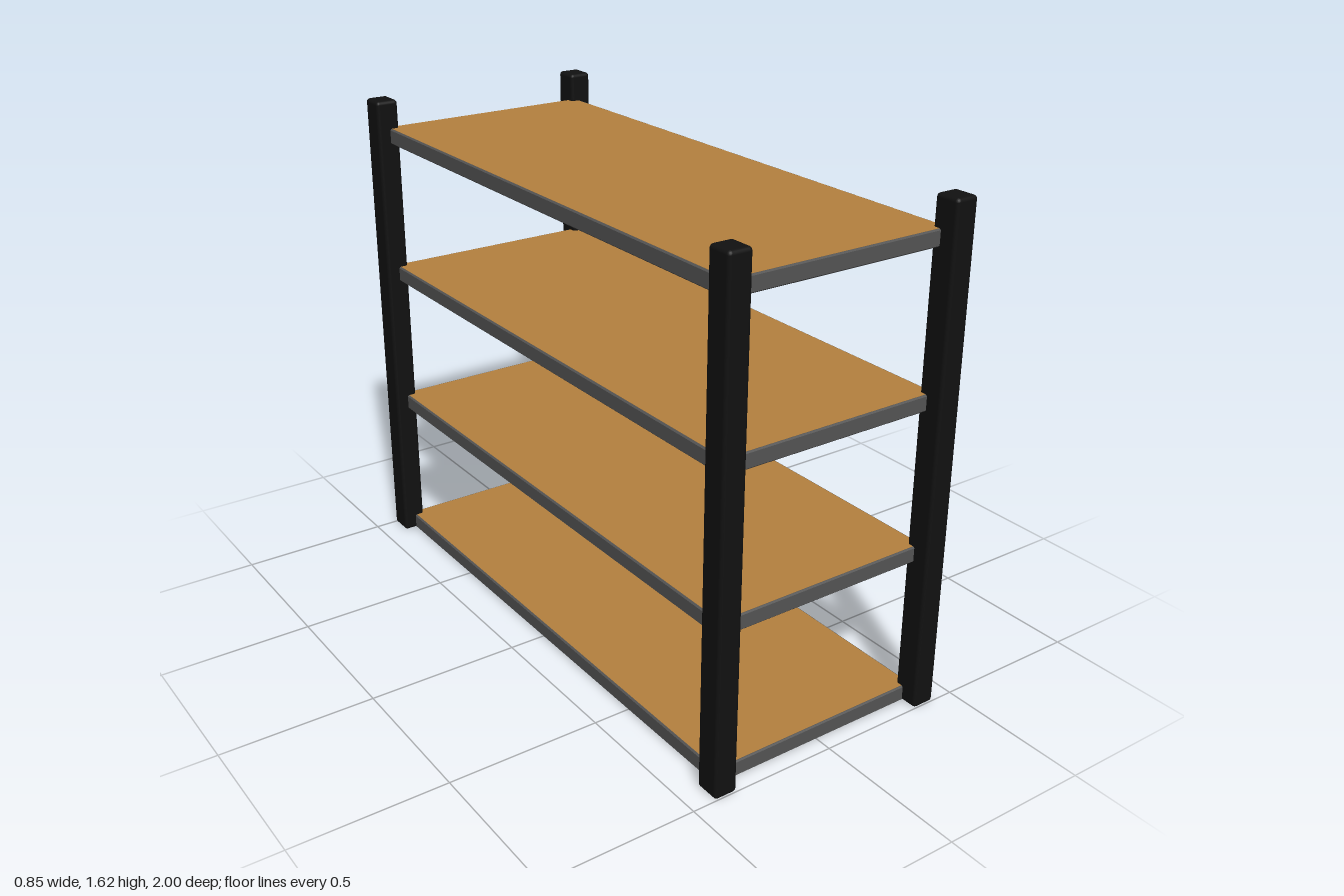
import * as THREE from 'three';
import { RoundedBoxGeometry } from 'three/addons/geometries/RoundedBoxGeometry.js';

const postMat = new THREE.MeshStandardMaterial({ color: 0x111111 });
const railMat = new THREE.MeshStandardMaterial({ color: 0x555555 });
const woodMat = new THREE.MeshStandardMaterial({ color: 0xb5813f });

const HEIGHT = 1.625, HALF_X = 0.424, HALF_Z = 1;
const POST_X = 0.077, POST_Z = 0.086;
const EDGE_X = 0.381, EDGE_Z = 0.945;      // outer faces of the rails
const RAIL_H = 0.052, RAIL_T = 0.012;
const SHELF_Y = [0, 0.492, 0.985, 1.477];  // underside of each shelf

function add(parent, name, geometry, material, x, y, z) {
  const mesh = new THREE.Mesh(geometry, material);
  mesh.name = name;
  mesh.position.set(x, y, z);
  parent.add(mesh);
  return mesh;
}

// Rail with bevelled long edges, running along z
function railGeometry(length) {
  const w = RAIL_T / 2, h = RAIL_H / 2, b = 0.004;
  const s = new THREE.Shape([
    [-w + b, -h], [w - b, -h], [w, -h + b], [w, h - b],
    [w - b, h], [-w + b, h], [-w, h - b], [-w, -h + b],
  ].map(([x, y]) => new THREE.Vector2(x, y)));
  return new THREE.ExtrudeGeometry(s, { depth: length, bevelEnabled: false })
    .translate(0, 0, -length / 2);
}

export function createModel() {
  const model = new THREE.Group();
  model.name = 'shelvingRack';

  // Four corner posts
  const post = new RoundedBoxGeometry(POST_X, HEIGHT, POST_Z, 2, 0.012);
  for (const sx of [1, -1]) for (const sz of [1, -1]) {
    add(model, `${sz > 0 ? 'front' : 'back'}${sx > 0 ? 'Left' : 'Right'}Post`, post, postMat,
      sx * (HALF_X - POST_X / 2), HEIGHT / 2, sz * (HALF_Z - POST_Z / 2));
  }

  // Shelves: a wooden board framed by thin metal rails
  const board = new THREE.BoxGeometry(2 * (EDGE_X - 0.006), RAIL_H - 0.001, 2 * (EDGE_Z - 0.006));
  const longRail = railGeometry(2 * EDGE_Z - 0.02);
  const shortRail = railGeometry(2 * EDGE_X - 0.02).rotateY(Math.PI / 2);
  SHELF_Y.forEach((y, i) => {
    const shelf = new THREE.Group();
    shelf.name = `shelf${i + 1}`;
    shelf.position.y = y + RAIL_H / 2;
    add(shelf, 'board', board, woodMat, 0, 0.001, 0);
    for (const s of [1, -1]) {
      add(shelf, s > 0 ? 'leftRail' : 'rightRail', longRail, railMat, s * (EDGE_X - RAIL_T / 2), 0, 0);
      add(shelf, s > 0 ? 'frontRail' : 'backRail', shortRail, railMat, 0, 0, s * (EDGE_Z - RAIL_T / 2));
    }
    model.add(shelf);
  });

  return model;
}
